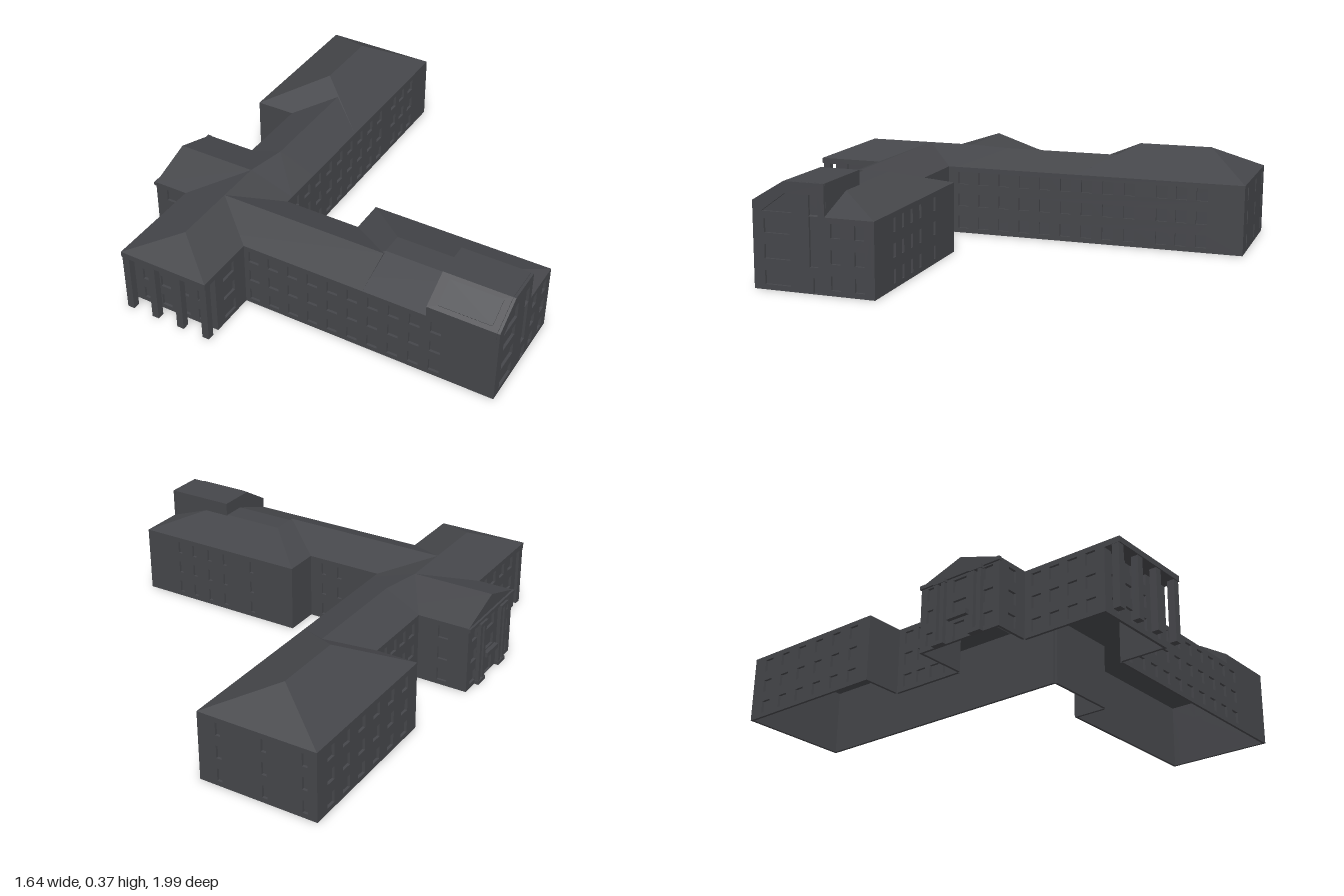
import * as THREE from 'three';

const mat = new THREE.MeshStandardMaterial({ color: 0x45464a, side: THREE.DoubleSide, flatShading: true });
const EAVE = 0.26, RIDGE = 0.32, REVEAL = 0.01;
const ROWS = [0.042, 0.13, 0.217];

function add(parent, name, geometry, x = 0, y = 0, z = 0) {
  const m = new THREE.Mesh(geometry, mat);
  m.name = name;
  m.position.set(x, y, z);
  parent.add(m);
  return m;
}

// box from its bounds
function block(parent, name, x0, x1, y0, y1, z0, z1) {
  return add(parent, name, new THREE.BoxGeometry(x1 - x0, y1 - y0, z1 - z0),
    (x0 + x1) / 2, (y0 + y1) / 2, (z0 + z1) / 2);
}

const poly = (pts) => pts.map(([x, y]) => new THREE.Vector2(x, y));
const rect = (u, y, w, h) => [[u - w / 2, y - h / 2], [u + w / 2, y - h / 2], [u + w / 2, y + h / 2], [u - w / 2, y + h / 2]];

// window openings in every storey at the given positions along a wall
const windows = (us, w, rows = ROWS) => us.flatMap((u) => rows.map((y) => rect(u, y, w, 0.048)));
const spread = (a, b, n) => Array.from({ length: n }, (_, i) => a + (b - a) * i / (n - 1));

// wall from (x0,z0) to (x1,z1), outside on the right hand, with recessed openings
function wall(parent, name, x0, z0, x1, z1, holes = [], outline = null) {
  const dx = x1 - x0, dz = z1 - z0, len = Math.hypot(dx, dz);
  const pts = poly(outline || [[0, 0], [len, 0], [len, EAVE], [0, EAVE]]);
  const shape = new THREE.Shape(pts);
  for (const h of holes) shape.holes.push(new THREE.Path(poly(h)));
  const g = new THREE.Group();
  g.name = name;
  g.position.set(x0, 0, z0);
  g.rotation.y = Math.atan2(-dz, dx);
  add(g, name + 'Face', new THREE.ExtrudeGeometry(shape, { depth: REVEAL, bevelEnabled: false }), 0, 0, -REVEAL);
  if (holes.length) add(g, name + 'Panes', new THREE.ShapeGeometry(new THREE.Shape(pts)), 0, 0, -REVEAL);
  parent.add(g);
}

// four sloping sides between a lower and an upper quad, closed on top
function roof(parent, name, low, high, y1 = RIDGE, y0 = EAVE) {
  const pos = [];
  const tri = (...p) => p.forEach((v) => pos.push(...v));
  const L = low.map(([x, z]) => [x, y0, z]), H = high.map(([x, z]) => [x, y1, z]);
  for (let i = 0; i < 4; i++) {
    const j = (i + 1) % 4;
    if (H[i].join() !== H[j].join()) tri(L[i], H[j], H[i]);
    tri(L[i], L[j], H[j]);
  }
  if (H[0].join() !== H[3].join() && H[0].join() !== H[1].join()) tri(H[0], H[1], H[2], H[0], H[2], H[3]);
  const geo = new THREE.BufferGeometry();
  geo.setAttribute('position', new THREE.Float32BufferAttribute(pos, 3));
  geo.computeVertexNormals();
  add(parent, name, geo);
}
const quad = (x0, x1, z0, z1) => [[x0, z1], [x1, z1], [x1, z0], [x0, z0]];

export function createModel() {
  const model = new THREE.Group();
  model.name = 'building';
  const b = new THREE.Group();
  b.name = 'blocks';
  b.rotation.y = 0.5445; // plan is turned relative to the axes
  model.add(b);

  // long bar: front
  wall(b, 'barFrontWall', -0.131, -0.1, 1.015, -0.1,
    [...windows(spread(0.06, 0.72, 9), 0.042), ...windows([0.843, 0.916, 0.992], 0.042)]);
  wall(b, 'barLeftFrontWall', -0.618, -0.1, -0.432, -0.1, windows([0.083], 0.07));
  // long bar: ends and back
  wall(b, 'eastEndWall', 1.015, -0.1, 1.015, -0.552, windows([0.08, 0.255, 0.407], 0.02));
  wall(b, 'eastBackWall', 1.015, -0.552, 0.381, -0.552, windows(spread(0.08, 0.55, 6), 0.042));
  wall(b, 'eastInnerWall', 0.381, -0.552, 0.381, -0.395);
  wall(b, 'middleBackWall', 0.381, -0.395, 0.08, -0.395, windows(spread(0.05, 0.25, 4), 0.042));
  wall(b, 'westBackWall', -0.28, -0.46, -0.618, -0.46, windows(spread(0.05, 0.28, 4), 0.042));
  wall(b, 'westEndWall', -0.618, -0.46, -0.618, -0.1, windows(spread(0.06, 0.3, 4), 0.042));

  // colonnade under the west end of the roof
  block(b, 'colonnadeSoffit', -0.68, -0.61, 0.238, EAVE, -0.46, -0.1);
  for (const z of spread(-0.445, -0.115, 4)) block(b, 'colonnadePost', -0.676, -0.648, 0, 0.24, z - 0.014, z + 0.014);

  // bar roofs
  roof(b, 'westRoof', quad(-0.68, -0.1, -0.46, -0.1), [[-0.531, -0.28], [-0.1, -0.28], [-0.1, -0.28], [-0.531, -0.28]]);
  roof(b, 'joiningRoof', [[-0.1, -0.1], [0.077, -0.1], [0.077, -0.395], [-0.1, -0.46]],
    [[-0.1, -0.28], [0.058, -0.248], [0.058, -0.248], [-0.1, -0.28]]);
  roof(b, 'middleRoof', quad(0.058, 0.52, -0.395, -0.1), quad(0.058, 0.52, -0.248, -0.248));
  roof(b, 'eastRoof', quad(0.381, 1.015, -0.552, -0.1), quad(0.574, 0.848, -0.328, -0.328), 0.357);

  // entrance block at the back
  const door = rect(0.18, 0.035, 0.05, 0.068);
  wall(b, 'entranceWall', 0.08, -0.596, -0.28, -0.596,
    [...windows([0.05, 0.31], 0.042), ...windows([0.18], 0.06, [0.13, 0.212]), door]);
  wall(b, 'entranceEastWall', 0.08, -0.395, 0.08, -0.596, windows([0.1], 0.04));
  wall(b, 'entranceWestWall', -0.28, -0.596, -0.28, -0.46, windows([0.068], 0.04));
  roof(b, 'entranceRoof', quad(-0.28, 0.08, -0.596, -0.28), quad(-0.1, -0.1, -0.596, -0.28));
  block(b, 'entranceCornice', -0.283, 0.083, 0.246, EAVE, -0.604, -0.59);
  block(b, 'entranceBalcony', -0.145, -0.055, 0.082, 0.1, -0.612, -0.596);
  for (const x of [-0.184, -0.016]) {
    for (const d of [-0.016, 0.016]) block(b, 'entrancePilaster', x + d - 0.008, x + d + 0.008, 0, 0.24, -0.61, -0.594);
    block(b, 'pilasterCapital', x - 0.027, x + 0.027, 0.236, 0.25, -0.613, -0.594);
    block(b, 'pilasterBase', x - 0.027, x + 0.027, 0, 0.015, -0.613, -0.594);
  }

  // front wing: narrow neck and wide hall
  wall(b, 'wingWestWall', -0.432, -0.1, -0.432, 0.9, windows(spread(0.04, 0.77, 10), 0.042));
  wall(b, 'neckEastWall', -0.131, 0.2, -0.131, -0.1, windows([0.06, 0.13], 0.02));
  wall(b, 'hallBackWall', 0.006, 0.2, -0.131, 0.2);
  wall(b, 'hallEastWall', 0.006, 0.9, 0.006, 0.2, windows([0.16, 0.23, 0.305, 0.38, 0.51], 0.018));
  roof(b, 'neckRoof', quad(-0.432, -0.131, -0.28, 0.385), quad(-0.28, -0.28, -0.28, 0.385));
  roof(b, 'hallRoof', quad(-0.432, 0.006, 0.2, 0.9), quad(-0.264, -0.175, 0.385, 0.73));

  // wing end wall rises into the stair tower
  wall(b, 'wingEndWall', -0.432, 0.9, 0.006, 0.9, [
    ...windows([0.088], 0.095), ...windows([0.3, 0.385], 0.035),
    rect(0.222, 0.21, 0.032, 0.24), rect(0.235, 0.029, 0.034, 0.054),
    [[0.032, 0.266], [0.145, 0.266], [0.145, 0.33], [0.12, 0.33]],
  ], [[0, 0], [0.438, 0], [0.438, EAVE], [0.262, EAVE], [0.262, 0.37], [0.116, 0.37], [0, 0.3]]);
  const tower = new THREE.Shape(poly([[-0.432, 0.25], [-0.17, 0.25], [-0.17, 0.37], [-0.316, 0.37], [-0.432, 0.3]]));
  add(b, 'stairTower', new THREE.ExtrudeGeometry(tower, { depth: 0.259, bevelEnabled: false }), 0, 0, 0.63);
  const skylight = add(b, 'towerSkylight', new THREE.BoxGeometry(0.1, 0.006, 0.2), -0.374, 0.335, 0.765);
  skylight.rotation.z = Math.atan2(0.07, 0.116);

  return model;
}
